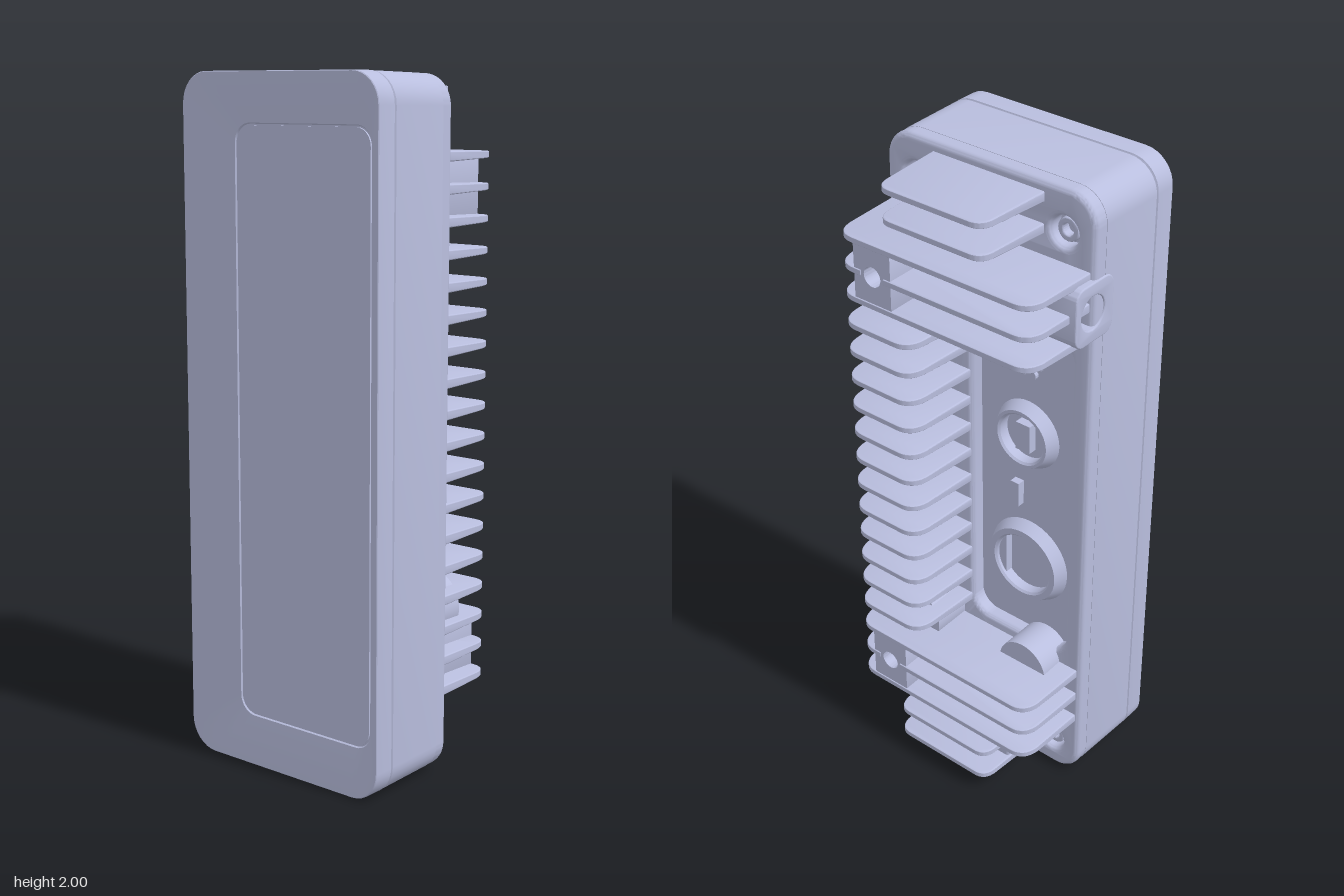
import * as THREE from 'three';
import { toCreasedNormals } from 'three/addons/utils/BufferGeometryUtils.js';

const paint = new THREE.MeshStandardMaterial({ color: 0xb9bede });
paint.name = 'pale blue grey';

function add(parent, name, geometry, x = 0, y = 0, z = 0) {
  const mesh = new THREE.Mesh(toCreasedNormals(geometry, 0.5), paint);
  mesh.name = name;
  mesh.position.set(x, y, z);
  parent.add(mesh);
  return mesh;
}

// Rounded rectangle, counter-clockwise
function roundRect(x0, x1, y0, y1, r) {
  const s = new THREE.Shape();
  s.absarc(x1 - r, y0 + r, r, -Math.PI / 2, 0);
  s.absarc(x1 - r, y1 - r, r, 0, Math.PI / 2);
  s.absarc(x0 + r, y1 - r, r, Math.PI / 2, Math.PI);
  s.absarc(x0 + r, y0 + r, r, Math.PI, Math.PI * 1.5);
  s.closePath();
  return s;
}

function circleHole(shape, x, y, r) {
  shape.holes.push(new THREE.Path().absarc(x, y, r, 0, Math.PI * 2, true));
}

// Skin over rounded-rectangle sections [x0, x1, y0, y1, r, z], back to front
function loft(sections) {
  const steps = 8, n = 4 * (steps + 1), pos = [], index = [];
  for (const [x0, x1, y0, y1, r, z] of sections) {
    const corners = [[x1 - r, y0 + r], [x1 - r, y1 - r], [x0 + r, y1 - r], [x0 + r, y0 + r]];
    corners.forEach(([cx, cy], k) => {
      for (let i = 0; i <= steps; i++) {
        const a = (k - 1 + i / steps) * Math.PI / 2;
        pos.push(cx + r * Math.cos(a), cy + r * Math.sin(a), z);
      }
    });
  }
  const last = (sections.length - 1) * n, centre = sections.length * n;
  for (const s of [sections[0], sections[sections.length - 1]]) {
    pos.push((s[0] + s[1]) / 2, (s[2] + s[3]) / 2, s[5]);
  }
  for (let j = 0; j < n; j++) {
    const k = (j + 1) % n;
    for (let i = 0; i < last; i += n) {
      index.push(i + j, i + k, i + n + k, i + j, i + n + k, i + n + j);
    }
    index.push(k, j, centre, last + j, last + k, centre + 1);
  }
  const g = new THREE.BufferGeometry();
  g.setAttribute('position', new THREE.Float32BufferAttribute(pos, 3));
  g.setIndex(index);
  return g;
}

// Section centred on the body axis
const section = (w, h, r, z) => [-w, w, 1 - h, 1 + h, r, z];

function extrude(shape, depth, bevel = 0) {
  return new THREE.ExtrudeGeometry(shape, {
    depth: depth - 2 * bevel, curveSegments: 10, bevelEnabled: bevel > 0,
    bevelSize: bevel, bevelThickness: bevel, bevelOffset: -bevel, bevelSegments: 4,
  }).translate(0, 0, bevel);
}

// Horizontal cooling fin: rounded outer corners, thinner toward the tip, optional notch for a post hole
function finGeometry(x0, x1, taper0, taper1, r, notchX) {
  const tip = 0.28, a = x0 + taper0, b = x1 - taper1;
  const s = new THREE.Shape();
  s.moveTo(x0, 0);
  s.lineTo(x1, 0);
  s.lineTo(b, tip - r);
  s.quadraticCurveTo(b - r * 0.1, tip, b - r, tip);
  if (notchX) {
    for (const [dx, d] of [[0.04, tip], [0.04, 0.2], [-0.04, 0.2], [-0.04, tip]]) s.lineTo(notchX + dx, d);
  }
  s.lineTo(a + r, tip);
  s.quadraticCurveTo(a + r * 0.1, tip, a, tip - r);
  s.closePath();
  const g = extrude(s, 0.032, 0.005).translate(0, 0, -0.016).rotateX(-Math.PI / 2);
  const p = g.attributes.position;
  for (let i = 0; i < p.count; i++) p.setY(i, p.getY(i) * (1 + 1.5 * p.getZ(i)));
  return g;
}

// Raised ring round a port, opening toward the back
function portRing(r) {
  const inner = r * 0.7;
  const profile = [[r, 0], [r - 0.018, 0.038], [inner + 0.006, 0.038], [inner, 0.032], [inner, 0]]
    .map(([x, y]) => new THREE.Vector2(x, y));
  return new THREE.LatheGeometry(profile, 40).rotateX(-Math.PI / 2);
}

export function createModel() {
  const model = new THREE.Group();
  model.name = 'finnedHousing';
  const postX = 0.205;

  // Main housing
  add(model, 'housing', loft([
    section(0.353, 0.994, 0.087, 0),
    section(0.358, 0.999, 0.09, 0.207),
    section(0.354, 0.995, 0.088, 0.211),
  ]));

  // Front frame with a shallow dished face sloping to an off-centre panel
  add(model, 'frontFrame', loft([
    section(0.35, 0.99, 0.085, 0.208),
    section(0.354, 0.995, 0.088, 0.213),
    section(0.358, 1, 0.09, 0.215),
    section(0.358, 1, 0.09, 0.278),
    section(0.356, 0.998, 0.089, 0.28),
    section(0.35, 0.992, 0.085, 0.28),
    [-0.165, 0.33, 0.147, 1.86, 0.055, 0.27],
    [-0.162, 0.327, 0.15, 1.857, 0.053, 0.265],
    [-0.158, 0.323, 0.154, 1.853, 0.05, 0.265],
  ]));
  add(model, 'frontPanel', extrude(roundRect(-0.158, 0.323, 0.154, 1.853, 0.05), 0.009), 0, 0, 0.261);

  // Back cover with screw pockets and an open channel
  const cover = roundRect(-0.352, 0.352, 0.007, 1.993, 0.087);
  const corners = [[-0.25, 0.11], [0.25, 0.11], [-0.25, 1.87], [0.25, 1.87]];
  for (const [x, y] of corners) circleHole(cover, x, y, 0.044);
  cover.holes.push(roundRect(-0.29, 0.06, 0.47, 1.55, 0.06));
  add(model, 'backCover', extrude(cover, 0.08, 0.016), 0, 0, -0.045);

  // Corner screws
  for (const [x, y] of corners) {
    const head = new THREE.Shape().absarc(0, 0, 0.034, 0, Math.PI * 2);
    circleHole(head, 0, 0, 0.017);
    add(model, 'cornerScrew', extrude(head, 0.03, 0.004), x, y, -0.026);
  }

  // Cooling fins: narrow at both ends, wide beside them, short along the channel
  const narrow = finGeometry(-0.19, 0.19, 0.012, 0.012, 0.045);
  const wide = finGeometry(-0.34, 0.34, 0.008, 0.008, 0.06);
  const notched = finGeometry(-0.34, 0.34, 0.008, 0.008, 0.06, postX);
  const short = finGeometry(0.065, 0.34, 0.012, 0.008, 0.06);
  for (let i = 0; i < 22; i++) {
    const end = Math.min(i, 21 - i);
    const kind = end < 2 ? ['narrowFin', narrow] : end === 3 ? ['notchedFin', notched]
      : end < 5 ? ['wideFin', wide] : ['shortFin', short];
    add(model, kind[0], kind[1], 0, 0.06 + i * 0.09, 0);
  }

  // Threaded mounting posts between the wide fins
  for (const y of [0.33, 1.68]) {
    const post = roundRect(-0.065, 0.065, -0.092, 0.092, 0.01);
    circleHole(post, 0, 0, 0.03);
    add(model, 'mountingPost', extrude(post, 0.272), postX, y, -0.277);
  }

  // Side socket
  const socket = roundRect(-0.035, 0.125, 1.59, 1.765, 0.035);
  circleHole(socket, 0.052, 1.678, 0.05);
  add(model, 'sideSocket', extrude(socket, 0.1, 0.004).rotateY(Math.PI / 2), -0.357, 0, 0);

  // Filler block behind the lower narrow fins
  add(model, 'lowerBlock', extrude(roundRect(-0.175, 0.175, 0.055, 0.24, 0.012), 0.165, 0.008), 0, 0, -0.167);

  // Round bosses beside the lower wide fins
  add(model, 'channelBoss', new THREE.CylinderGeometry(0.085, 0.085, 0.12, 40).rotateX(Math.PI / 2), -0.19, 0.42, -0.06);
  add(model, 'finBoss', new THREE.CylinderGeometry(0.103, 0.103, 0.168, 40).rotateX(Math.PI / 2), 0.2, 0.455, -0.084);

  // Ports in the channel
  add(model, 'upperPort', portRing(0.11), -0.11, 1.17, 0);
  add(model, 'upperPortPlug', new THREE.BoxGeometry(0.05, 0.09, 0.03), -0.11, 1.17, -0.012);
  add(model, 'lowerPort', portRing(0.14), -0.12, 0.725, 0);
  const key = new THREE.Shape().absarc(0, 0, 0.096, -Math.PI / 4, Math.PI / 4);
  key.closePath();
  add(model, 'lowerPortKey', extrude(key, 0.026), -0.12, 0.725, -0.025);
  add(model, 'channelLatch', new THREE.BoxGeometry(0.03, 0.08, 0.024), -0.08, 0.96, -0.012);

  // Cluster of small vent studs
  const stud = new THREE.CylinderGeometry(0.014, 0.014, 0.014, 14).rotateX(Math.PI / 2);
  for (let i = 0; i < 7; i++) {
    const a = i * Math.PI / 3, r = i < 6 ? 0.038 : 0;
    add(model, 'ventStud', stud, -0.11 + r * Math.cos(a), 1.41 + r * Math.sin(a), -0.006);
  }

  return model;
}
